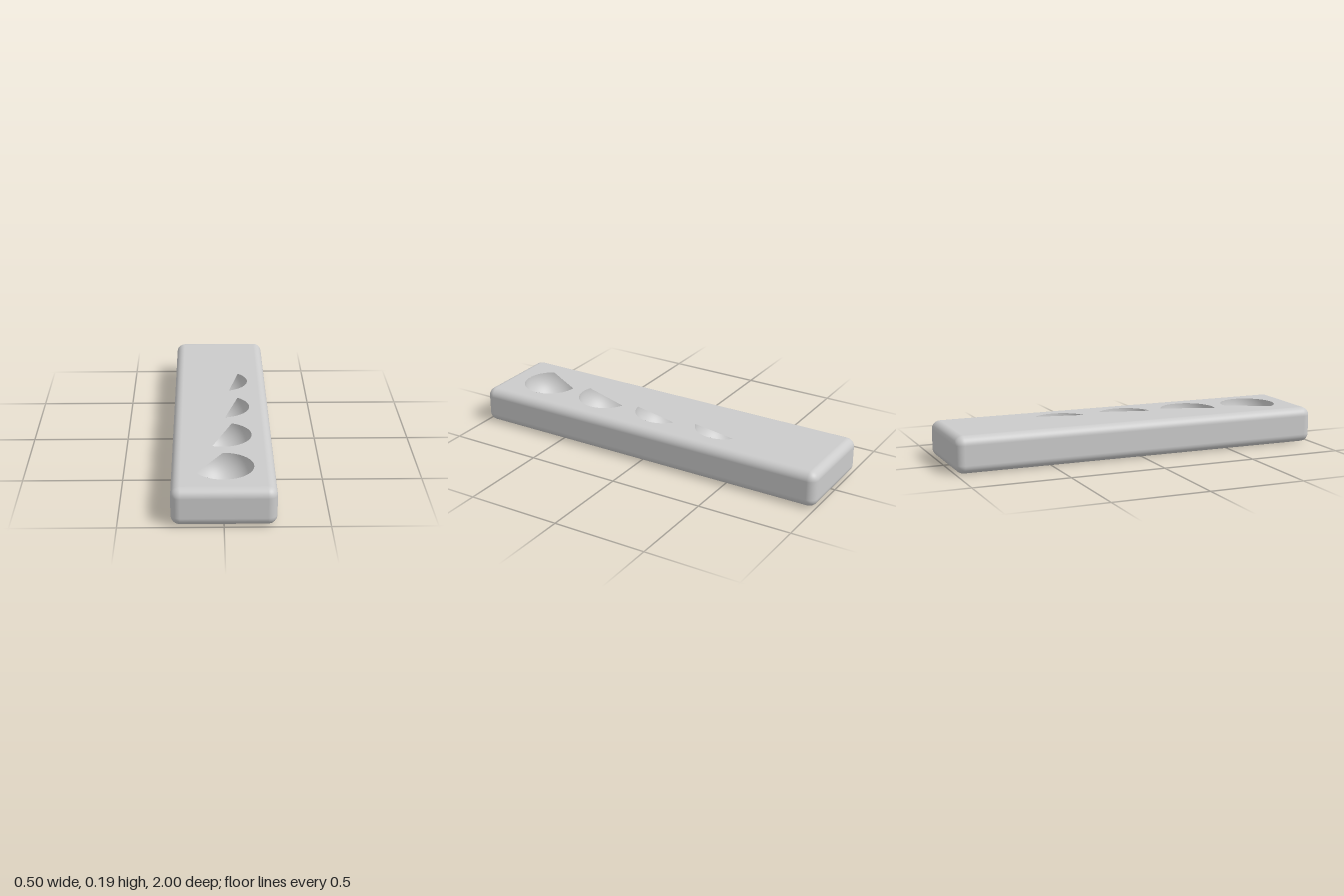
import * as THREE from 'three';
import { RoundedBoxGeometry } from 'three/addons/geometries/RoundedBoxGeometry.js';

const W = 0.5, H = 0.19, L = 2, EDGE = 0.045, R = 0.148;

// Openings from front to back: z of the centre, direction and half sweep of the arc in degrees
const HOLLOWS = [
  { z: 0.737, dir: -30, half: 120 },
  { z: 0.37, dir: -20, half: 90 },
  { z: 0.005, dir: -15, half: 68 },
  { z: -0.36, dir: -12, half: 60 },
];

// Rounded block without its flat top panel
function openBlock() {
  const box = new RoundedBoxGeometry(W, H, L, 6, EDGE);
  const source = box.index ? box.toNonIndexed() : box;
  const p = source.attributes.position, n = source.attributes.normal;
  const pos = [], nor = [];
  for (let i = 0; i < p.count; i += 3) {
    const corners = [i, i + 1, i + 2];
    if (corners.every((c) => p.getY(c) > H / 2 - 1e-5)) continue;
    for (const c of corners) {
      pos.push(p.getX(c), p.getY(c) + H / 2, p.getZ(c));
      nor.push(n.getX(c), n.getY(c), n.getZ(c));
    }
  }
  const g = new THREE.BufferGeometry();
  g.setAttribute('position', new THREE.Float32BufferAttribute(pos, 3));
  g.setAttribute('normal', new THREE.Float32BufferAttribute(nor, 3));
  return g;
}

// Flat top panel with a circle segment cut out over each bowl
function topPanel() {
  const x = W / 2 - EDGE, z = L / 2 - EDGE;
  const shape = new THREE.Shape([
    new THREE.Vector2(-x, -z), new THREE.Vector2(x, -z),
    new THREE.Vector2(x, z), new THREE.Vector2(-x, z),
  ]);
  for (const h of HOLLOWS) {
    const hole = new THREE.Path();
    const a = THREE.MathUtils.degToRad(h.dir - h.half);
    const b = THREE.MathUtils.degToRad(h.dir + h.half);
    hole.absarc(0, -h.z, R, a, b, false);
    hole.closePath();
    shape.holes.push(hole);
  }
  return new THREE.ShapeGeometry(shape, 40).rotateX(-Math.PI / 2).translate(0, H, 0);
}

export function createModel() {
  const group = new THREE.Group();
  group.name = 'blockWithHollows';
  const solid = new THREE.MeshStandardMaterial({ color: 0xcccccc });
  const sheet = new THREE.MeshStandardMaterial({ color: 0xcccccc, side: THREE.DoubleSide });
  const add = (name, geometry, material) => {
    const mesh = new THREE.Mesh(geometry, material);
    mesh.name = name;
    group.add(mesh);
    return mesh;
  };

  add('block', openBlock(), solid);
  add('topPanel', topPanel(), sheet);

  // Half-sphere bowls sunk below the openings
  const bowl = new THREE.SphereGeometry(R, 64, 24, 0, Math.PI * 2, Math.PI / 2, Math.PI / 2);
  HOLLOWS.forEach((h, i) => add(`bowl${i + 1}`, bowl, sheet).position.set(0, H, h.z));
  return group;
}
